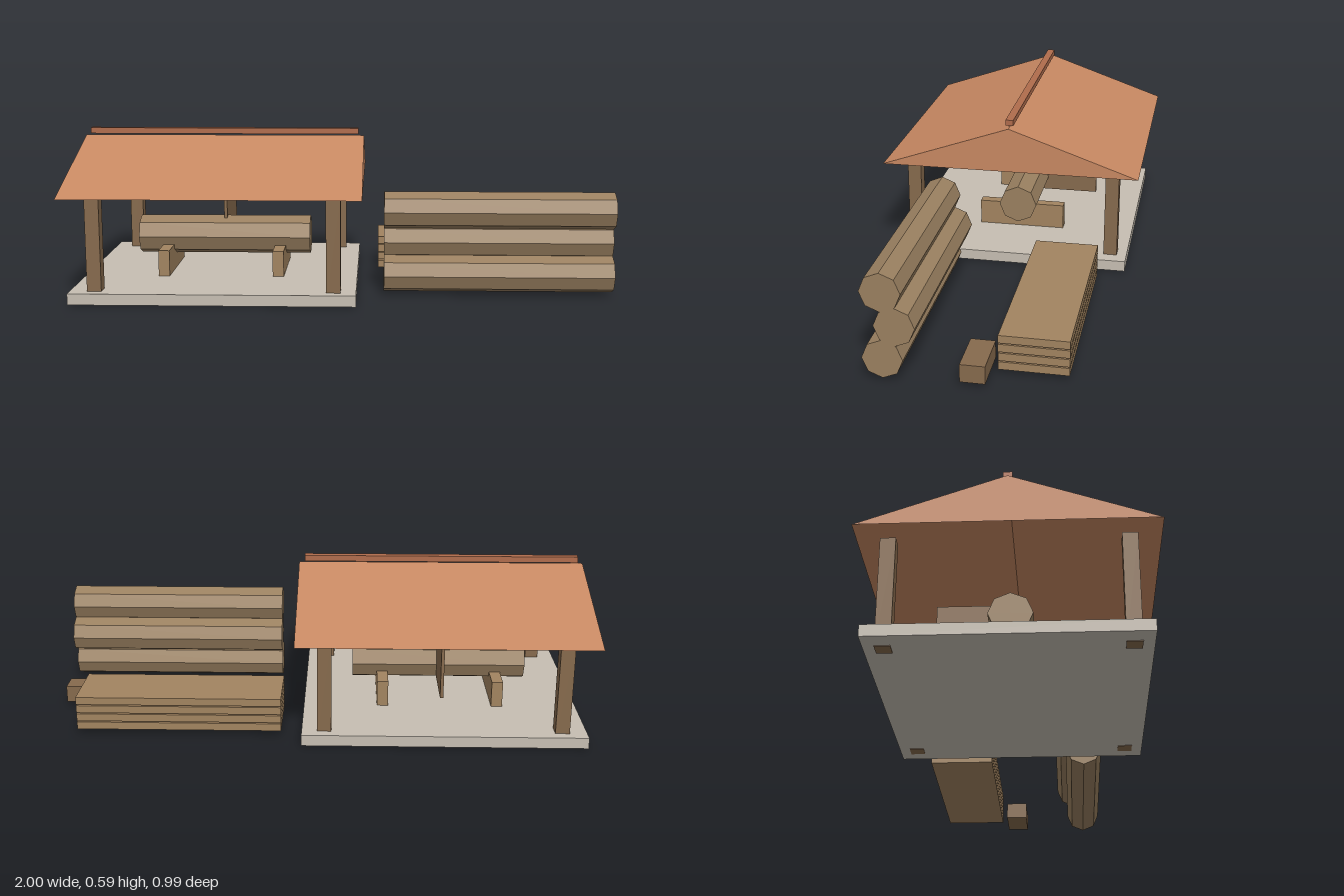
import * as THREE from 'three';

const mat = (color, side = THREE.FrontSide) =>
  new THREE.MeshStandardMaterial({ color, flatShading: true, side });

export function createModel() {
  const model = new THREE.Group();
  const stone = mat(0xc6beb2);
  const darkWood = mat(0x866a4d);
  const bark = mat(0x9a8060);
  const plankWood = mat(0xa28460);
  const tile = mat(0xc78862, THREE.DoubleSide);
  const ridgeTile = mat(0xb06c4c);

  const add = (name, geometry, material, parent = model) => {
    const mesh = new THREE.Mesh(geometry, material);
    mesh.name = name;
    parent.add(mesh);
    return mesh;
  };
  // Box given by its limits on each axis
  const box = (name, [x0, x1], [y0, y1], [z0, z1], material, parent) =>
    add(name, new THREE.BoxGeometry(x1 - x0, y1 - y0, z1 - z0), material, parent)
      .position.set((x0 + x1) / 2, (y0 + y1) / 2, (z0 + z1) / 2);
  // Eight-sided log lying along x
  const log = (name, x0, x1, y, z, r, parent) => {
    const geometry = new THREE.CylinderGeometry(r, r, x1 - x0, 8).rotateZ(Math.PI / 2);
    add(name, geometry, bark, parent).position.set((x0 + x1) / 2, y, z);
  };
  const group = (name) => {
    const g = new THREE.Group();
    g.name = name;
    model.add(g);
    return g;
  };

  // Shelter: slab and four posts
  const shelter = group('shelter');
  box('floorSlab', [-0.98, 0.055], [0.002, 0.043], [-0.455, 0.455], stone, shelter);
  for (const x of [-0.89, -0.027])
    for (const z of [-0.391, 0.391])
      box('post', [x - 0.026, x + 0.026], [0, 0.392], [z - 0.026, z + 0.026], darkWood, shelter);

  // Hollow gabled roof, open underneath
  const x0 = -1, x1 = 0.077, eave = 0.392, ridge = 0.564, d = 0.495;
  const roof = new THREE.BufferGeometry();
  roof.setAttribute('position', new THREE.Float32BufferAttribute([
    x0, eave, d, x1, eave, d, x1, ridge, 0, x0, ridge, 0, x0, eave, -d, x1, eave, -d,
  ], 3));
  roof.setIndex([0, 1, 2, 0, 2, 3, 5, 4, 3, 5, 3, 2, 1, 5, 2, 4, 0, 3]);
  const roofFlat = roof.toNonIndexed();
  roofFlat.computeVertexNormals();
  add('roof', roofFlat, tile, shelter);
  box('ridgeCap', [-0.98, 0.055], [0.57, 0.592], [-0.015, 0.015], ridgeTile, shelter);

  // Sawing bench: two bearers, a log and an upright blade board
  const bench = group('sawBench');
  for (const x of [-0.68, -0.245])
    box('bearer', [x - 0.021, x + 0.021], [0.043, 0.141], [-0.172, 0.172], plankWood, bench);
  log('benchLog', -0.793, -0.13, 0.174, 0, 0.075, bench);
  box('bladeBoard', [-0.467, -0.455], [0.12, 0.38], [-0.28, 0.021], darkWood, bench);

  // Pile of three staggered logs
  const pile = group('logPile');
  for (let i = 0; i < 3; i++)
    log('pileLog', 0.155, 1, 0.078 + i * 0.119, i === 1 ? 0.196 : 0.239, 0.069, pile);

  // Stack of four boards
  const stack = group('boardStack');
  for (let i = 0; i < 4; i++) {
    const y = 0.015 + i * 0.0325;
    box('board', [0.133, 0.889], [y, y + 0.028], [-0.357, -0.119], plankWood, stack);
  }

  // Loose offcut beside the stack
  box('offcut', [0.813, 0.986], [0.013, 0.077], [-0.097, -0.012], darkWood);

  return model;
}
